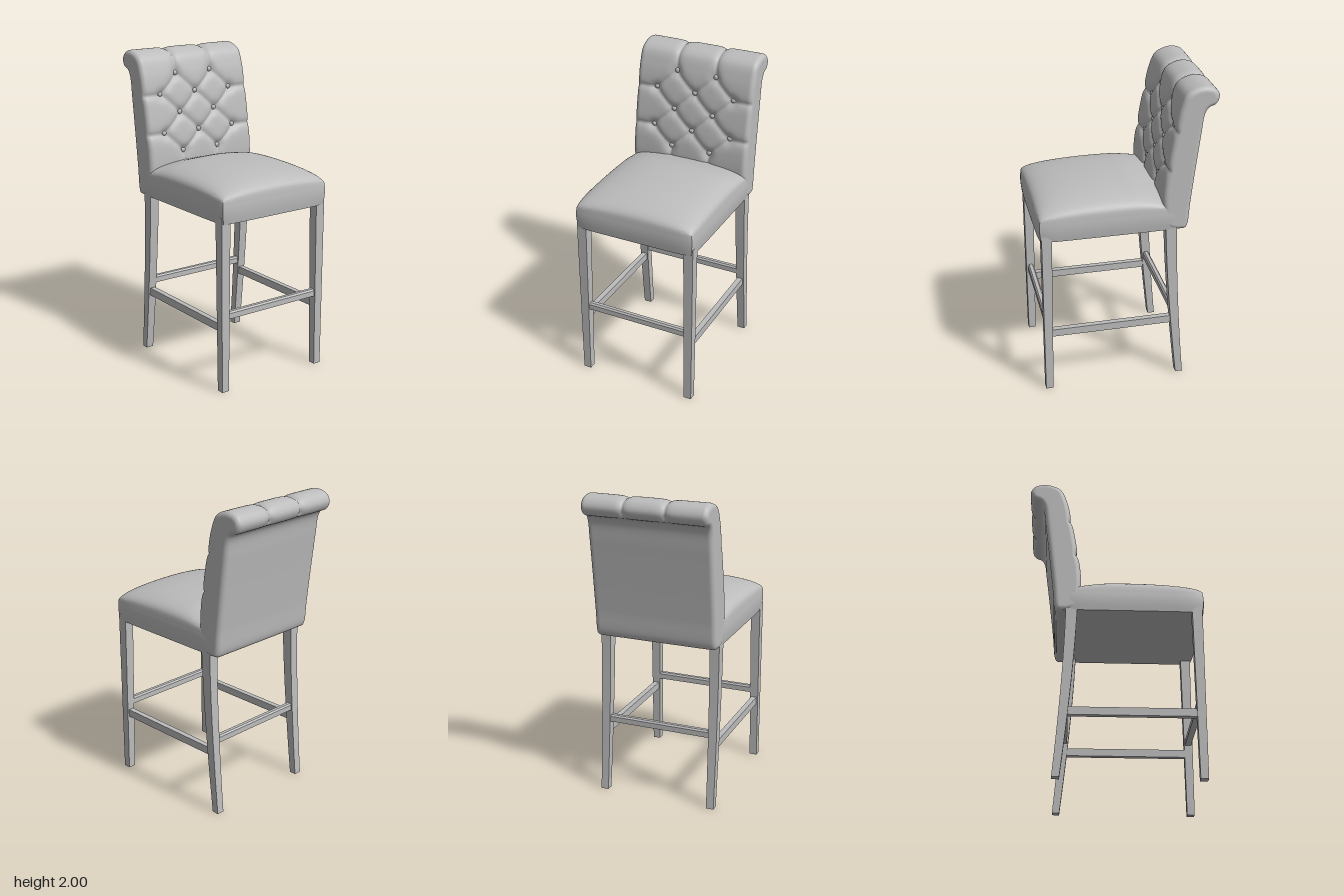
import * as THREE from 'three';
import { mergeVertices, toCreasedNormals } from 'three/addons/utils/BufferGeometryUtils.js';

const SEAT_BOTTOM = 1.08;

// Button lattice of the tufted backrest: alternating rows of two and three
const buttons = [];
for (let row = 0; row < 5; row++) {
  const xs = row % 2 ? [-0.27, 0, 0.27] : [-0.135, 0.135];
  for (const x of xs) buttons.push([x, 1.355 + row * 0.1235]);
}

// Creases: diagonals between neighbouring buttons, plus runs out to the edges
const creases = [];
buttons.forEach(([x, y], i) => {
  for (const [x2, y2] of buttons.slice(i + 1)) {
    if (Math.abs(Math.abs(x2 - x) - 0.135) < 0.01 && Math.abs(y2 - y - 0.1235) < 0.01) creases.push([x, y, x2, y2]);
  }
});
for (const s of [-1, 1]) {
  creases.push([s * 0.135, 1.849, s * 0.135, 2.16], [s * 0.135, 1.2, s * 0.135, 1.355]);
  for (const y of [1.4785, 1.7255]) creases.push([s * 0.27, y, s * 0.39, y]);
}

function segmentDistance(x, y, [x1, y1, x2, y2]) {
  const dx = x2 - x1, dy = y2 - y1;
  const t = THREE.MathUtils.clamp(((x - x1) * dx + (y - y1) * dy) / (dx * dx + dy * dy), 0, 1);
  return Math.hypot(x - x1 - t * dx, y - y1 - t * dy);
}

// Depth of the upholstery below its fullest surface
function tuftDepth(x, v) {
  let d = 1, b = 1;
  for (const c of creases) d = Math.min(d, segmentDistance(x, v, c));
  for (const [bx, by] of buttons) b = Math.min(b, Math.hypot(x - bx, v - by));
  return 0.018 * Math.exp(-d / 0.018) + 0.018 * Math.exp(-((b / 0.035) ** 2));
}

// Side profile of the backrest as (z, y): up the front, over the roll, down the back
const profile = new THREE.CatmullRomCurve3([
  [-0.25, 1.1], [-0.225, 1.25], [-0.23, 1.38], [-0.248, 1.5], [-0.268, 1.62], [-0.293, 1.75],
  [-0.32, 1.87], [-0.36, 1.96], [-0.42, 1.993], [-0.48, 2.0], [-0.535, 1.98], [-0.56, 1.935],
  [-0.54, 1.885], [-0.497, 1.865], [-0.475, 1.83], [-0.456, 1.7], [-0.425, 1.45], [-0.402, 1.25],
  [-0.386, 1.1], [-0.37, 1.076],
].map(([z, y]) => new THREE.Vector3(z, y, 0)), true);

function backrestGeometry() {
  const N = 190, W = 0.405, R = 0.032;
  const pts = profile.getSpacedPoints(N).slice(0, N);
  const top = pts.reduce((best, p, i) => (p.y > pts[best].y ? i : best), 0);
  const step = profile.getLength() / N;

  // Stations across the width, with rounded ends
  const stations = [];
  const flat = W - R;
  for (let i = 0; i <= 7; i++) {
    const a = (i / 7) * Math.PI / 2;
    stations.push([-flat - R * Math.cos(a), R * (1 - Math.sin(a))]);
  }
  for (let i = 1; i < 100; i++) stations.push([-flat + 2 * flat * i / 100, 0]);
  for (const [x, inset] of stations.slice(0, 8).reverse()) stations.push([-x, inset]);

  const pos = [], index = [];
  for (const [x, inset] of stations) {
    pts.forEach((p, j) => {
      const q = pts[(j + 1) % N], o = pts[(j + N - 1) % N];
      const len = Math.hypot(q.x - o.x, q.y - o.y);
      const nz = (q.y - o.y) / len, ny = (o.x - q.x) / len;
      const v = j <= top ? p.y : 2 + (j - top) * step;
      const d = inset + tuftDepth(x, v);
      pos.push(x, p.y - ny * d, p.x - nz * d);
    });
  }
  for (let i = 0; i < stations.length - 1; i++) {
    for (let j = 0; j < N; j++) {
      const k = (j + 1) % N;
      const a = i * N + j, b = a + N, c = (i + 1) * N + k, d = i * N + k;
      index.push(a, b, c, a, c, d);
    }
  }
  // End caps
  const last = (stations.length - 1) * N;
  const outline = pts.map((p, j) => new THREE.Vector2(pos[j * 3 + 2], pos[j * 3 + 1]));
  for (const [a, b, c] of THREE.ShapeUtils.triangulateShape(outline, [])) {
    index.push(a, b, c, last + a, last + c, last + b);
  }
  const geo = new THREE.BufferGeometry();
  geo.setAttribute('position', new THREE.Float32BufferAttribute(pos, 3));
  geo.setIndex(index);
  geo.computeVertexNormals();
  return geo;
}

// Moves every vertex of a geometry by a rule, then rebuilds the normals
function reshape(geo, rule, crease) {
  geo.deleteAttribute('uv');
  geo.deleteAttribute('normal');
  const p = geo.attributes.position;
  for (let i = 0; i < p.count; i++) p.setXYZ(i, ...rule(p.getX(i), p.getY(i), p.getZ(i)));
  return toCreasedNormals(mergeVertices(geo, 1e-5), crease);
}

// Cushion: box with a crowned top and softly bulging sides
function seatGeometry() {
  return reshape(new THREE.BoxGeometry(2, 1, 2, 40, 8, 40), (x, y, z) => {
    const X = Math.sin(x * Math.PI / 2), Z = Math.sin(z * Math.PI / 2), t = y + 0.5;
    const crown = Math.pow(Math.max(0, (1 - X * X) * (1 - Z * Z)), 0.33);
    const dip = 0.03 * THREE.MathUtils.smoothstep(-Z, 0.3, 0.8);
    const height = 1.215 + (0.128 - dip) * crown;
    const bulge = 0.008 * Math.sin(t * Math.PI * 0.8);
    return [
      X * (0.4 + bulge - 0.012 * Z ** 8),
      SEAT_BOTTOM + t * (height - SEAT_BOTTOM),
      0.085 + Z * (0.462 + bulge - 0.012 * X ** 8),
    ];
  }, 0.75);
}

// Tapered leg; zAt gives the centre line so the rear pair can sweep back
function legGeometry(side, zAt, topDepth, bottomDepth) {
  const H = SEAT_BOTTOM + 0.04;
  return reshape(new THREE.BoxGeometry(1, 1, 1, 1, 14, 1), (x, y, z) => {
    const t = y + 0.5;
    const w = THREE.MathUtils.lerp(0.05, 0.064, t);
    const d = THREE.MathUtils.lerp(bottomDepth, topDepth, t);
    return [side * THREE.MathUtils.lerp(0.37, 0.367, t) + x * w, t * H, zAt(t) + z * d];
  }, 0.5);
}

export function createModel() {
  const group = new THREE.Group();
  const grey = new THREE.MeshStandardMaterial({ color: 0xbcbcbc });
  grey.name = 'plain grey';
  const add = (name, geo, x = 0, y = 0, z = 0) => {
    const mesh = new THREE.Mesh(geo, grey);
    mesh.name = name;
    mesh.position.set(x, y, z);
    group.add(mesh);
    return mesh;
  };

  add('seat', seatGeometry());
  add('tuftedBackrest', backrestGeometry());

  // Buttons sunk into the crease crossings
  const front = profile.getSpacedPoints(400).slice(0, 160);
  for (const [x, y] of buttons) {
    const near = front.reduce((a, b) => (Math.abs(b.y - y) < Math.abs(a.y - y) ? b : a));
    const button = add('button', new THREE.SphereGeometry(0.017, 16, 10), x, y, near.x - 0.03);
    button.scale.z = 0.75;
  }

  // Legs and side rails
  const frontZ = (t) => THREE.MathUtils.lerp(0.511, 0.502, t);
  const rearZ = (t) => -0.281 - 0.077 * Math.pow(1 - t, 1.5);
  for (const [side, label] of [[1, 'left'], [-1, 'right']]) {
    add(label + 'FrontLeg', legGeometry(side, frontZ, 0.064, 0.048));
    add(label + 'RearLeg', legGeometry(side, rearZ, 0.072, 0.046));
    add(label + 'SideRail', new THREE.BoxGeometry(0.036, 0.05, 0.8), side * 0.368, 0.415, 0.1);
  }

  // Front and rear rails with eased top edges
  const section = new THREE.Shape([
    [-0.02, -0.023], [0.02, -0.023], [0.02, 0.012], [0.011, 0.023], [-0.011, 0.023], [-0.02, 0.012],
  ].map(([a, b]) => new THREE.Vector2(a, b)));
  for (const [name, z] of [['frontRail', 0.505], ['rearRail', -0.312]]) {
    const rail = new THREE.ExtrudeGeometry(section, { depth: 0.7, bevelEnabled: false });
    rail.translate(0, 0, -0.35).rotateY(Math.PI / 2);
    add(name, rail, 0, 0.493, z);
  }
  return group;
}
